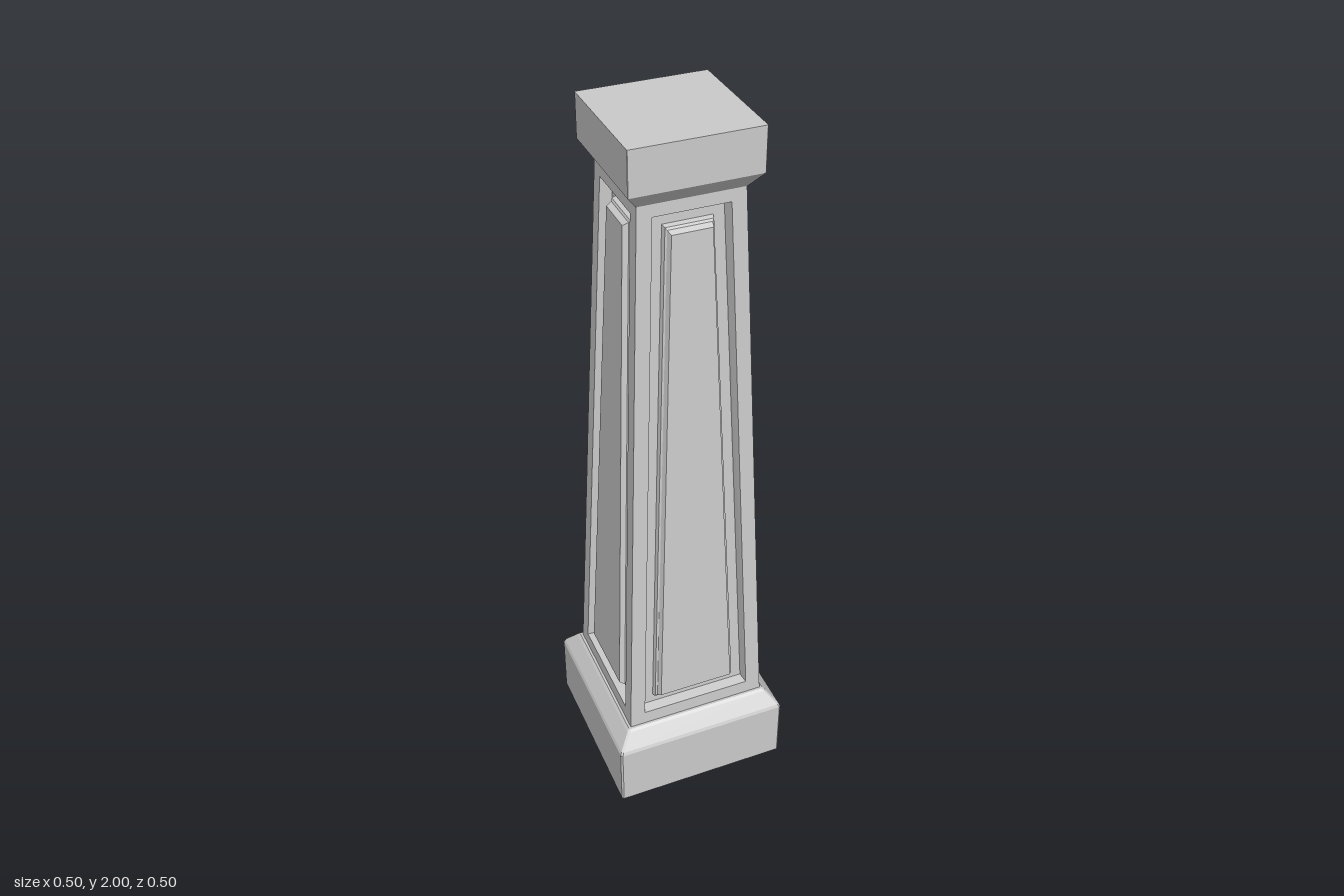
import * as THREE from 'three';

const material = new THREE.MeshStandardMaterial({
  color: 0xcccccc, flatShading: true, side: THREE.DoubleSide,
});

// Joins successive rings of points with quads; optionally closes the last ring.
function bridge(name, rings, closeEnd) {
  const pos = [];
  const tri = (...pts) => pts.forEach((p) => pos.push(...p));
  for (let r = 0; r < rings.length - 1; r++) {
    const a = rings[r], b = rings[r + 1], n = a.length;
    for (let i = 0; i < n; i++) {
      const j = (i + 1) % n;
      tri(a[i], a[j], b[j]);
      tri(a[i], b[j], b[i]);
    }
  }
  if (closeEnd) {
    const e = rings[rings.length - 1];
    for (let i = 1; i < e.length - 1; i++) tri(e[0], e[i], e[i + 1]);
  }
  const geo = new THREE.BufferGeometry();
  geo.setAttribute('position', new THREE.Float32BufferAttribute(pos, 3));
  geo.computeVertexNormals();
  const mesh = new THREE.Mesh(geo, material);
  mesh.name = name;
  return mesh;
}

// Square section of half-width h at height y, with corners cut by c.
function square(h, y, c) {
  const k = h - c;
  return [[-k, h], [k, h], [h, k], [h, -k], [k, -h], [-k, -h], [-h, -k], [-h, k]]
    .map(([x, z]) => [x, y, z]);
}

// Shaft taper: half-width at height y.
const Y0 = 0.235, Y1 = 1.85;
const shaftHalf = (y) => THREE.MathUtils.mapLinear(y, Y0, Y1, 0.203, 0.135);

// Trapezoid outline on a shaft face, sunk by depth d.
function outline([u0, y0, u1, y1, d]) {
  return [[-u0, y0], [u0, y0], [u1, y1], [-u1, y1]]
    .map(([x, y]) => [x, y, shaftHalf(y) - d]);
}

export function createModel() {
  const group = new THREE.Group();
  group.name = 'taperedColumn';

  // Plinth, open underneath, with a sloped shoulder
  group.add(bridge('base', [
    [0.252, 0], [0.252, 0.185], [0.248, 0.194], [0.217, 0.234], [0.21, 0.24], [0.2, 0.24],
  ].map(([h, y]) => square(h, y, 0.005)), false));

  // Four shaft faces: frame, recess, stepped moulding and raised panel
  const shaft = new THREE.Group();
  shaft.name = 'shaft';
  const profile = [
    [0.203, Y0, 0.135, Y1, 0],
    [0.158, 0.28, 0.098, 1.812, 0],
    [0.153, 0.284, 0.092, 1.806, 0.03],
    [0.122, 0.311, 0.064, 1.774, 0.03],
    [0.119, 0.315, 0.061, 1.771, 0.017],
    [0.113, 0.322, 0.057, 1.765, 0.014],
    [0.107, 0.329, 0.052, 1.758, 0],
  ].map(outline);
  ['front', 'left', 'back', 'right'].forEach((side, i) => {
    const face = bridge(side + 'Panel', profile, true);
    face.rotation.y = i * Math.PI / 2;
    shaft.add(face);
  });
  group.add(shaft);

  // Cap block with a chamfered underside
  group.add(bridge('cap', [
    [0.12, 1.845], [0.137, 1.845], [0.167, 1.885], [0.167, 2],
  ].map(([h, y]) => square(h, y, 0.001)), true));

  return group;
}
